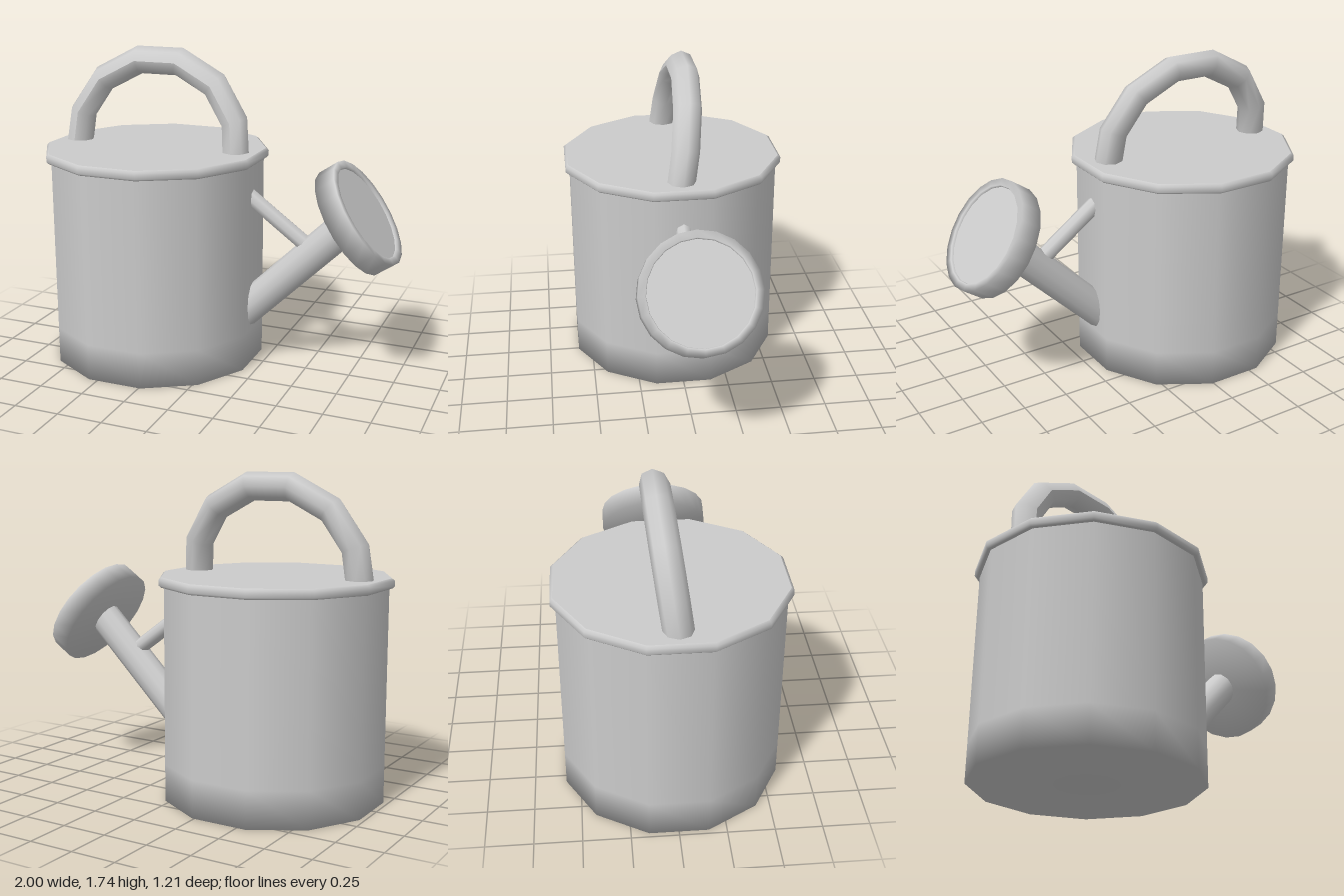
import * as THREE from 'three';

const material = new THREE.MeshStandardMaterial({ color: 0xcccccc, side: THREE.DoubleSide });

function mesh(name, geometry) {
  const m = new THREE.Mesh(geometry, material);
  m.name = name;
  return m;
}

function turned(name, profile, sides, phase = 0) {
  const points = profile.map(([r, y]) => new THREE.Vector2(r, y));
  return mesh(name, new THREE.LatheGeometry(points, sides, phase));
}

// Straight round bar between two points in the z = 0 plane
function bar(name, [ax, ay], [bx, by], radius, sides) {
  const g = new THREE.CylinderGeometry(radius, radius, Math.hypot(bx - ax, by - ay), sides);
  g.rotateZ(Math.atan2(by - ay, bx - ax) - Math.PI / 2);
  g.translate((ax + bx) / 2, (ay + by) / 2, 0);
  return mesh(name, g);
}

// Round bar bent along a planar path, with one mitred ring per path point
function bentBar(name, path, radius, sides) {
  const pts = path.map(([x, y]) => new THREE.Vector2(x, y));
  const last = pts.length - 1;
  const g = new THREE.CylinderGeometry(radius, radius, last, sides, last, true);
  const pos = g.attributes.position;
  for (let i = 0; i < pos.count; i++) {
    const k = Math.round(pos.getY(i) + last / 2);
    const t = pts[Math.min(k + 1, last)].clone().sub(pts[Math.max(k - 1, 0)]).normalize();
    const off = pos.getX(i);
    pos.setXYZ(i, pts[k].x + t.y * off, pts[k].y - t.x * off, pos.getZ(i));
  }
  g.computeVertexNormals();
  return mesh(name, g);
}

export function createModel() {
  const model = new THREE.Group();
  model.name = 'wateringCan';

  // Twelve-sided can with a rolled rim and flat lid
  const can = new THREE.Group();
  can.name = 'can';
  const phase = Math.PI / 12;
  can.add(
    turned('body', [[0, 0], [0.6, 0], [0.6, 0.2], [0.6, 1.17]], 12, phase),
    turned('rim', [[0.595, 1.147], [0.615, 1.147], [0.627, 1.158], [0.627, 1.188], [0.612, 1.2]], 12, phase),
    turned('lid', [[0.612, 1.2], [0, 1.2]], 12, phase)
  );
  can.position.x = -0.395;
  model.add(can);

  // Arched handle, leaning backwards
  const half = [[-0.48, -0.04], [-0.46, 0.16], [-0.335, 0.35], [-0.12, 0.662 - 0.2]];
  const arch = [...half, ...half.map(([x, y]) => [-x, y]).reverse()];
  const handle = bentBar('handle', arch, 0.077, 8);
  handle.geometry.applyMatrix4(new THREE.Matrix4().makeShear(0, 0, 0, -0.14, 0, 0));
  handle.position.set(-0.4, 1.2, -0.003);
  model.add(handle);

  // Spout and the brace that ties it to the can
  const spout = bar('spout', [0.13, 0.287], [0.755, 0.9], 0.092, 12);
  spout.scale.z = 0.92;
  model.add(spout, bar('brace', [0.13, 0.985], [0.49, 0.722], 0.045, 8));

  // Sprinkler head with a shallow recessed plate
  const head = new THREE.Group();
  head.name = 'sprinklerHead';
  head.add(
    turned('headShell', [[0, 0], [0.309, 0], [0.309, 0.12], [0.27, 0.12], [0.266, 0.106]], 20),
    turned('headPlate', [[0.266, 0.106], [0, 0.106]], 20)
  );
  head.position.set(0.725, 0.873, 0);
  head.rotation.z = -0.969;
  model.add(head);

  return model;
}
